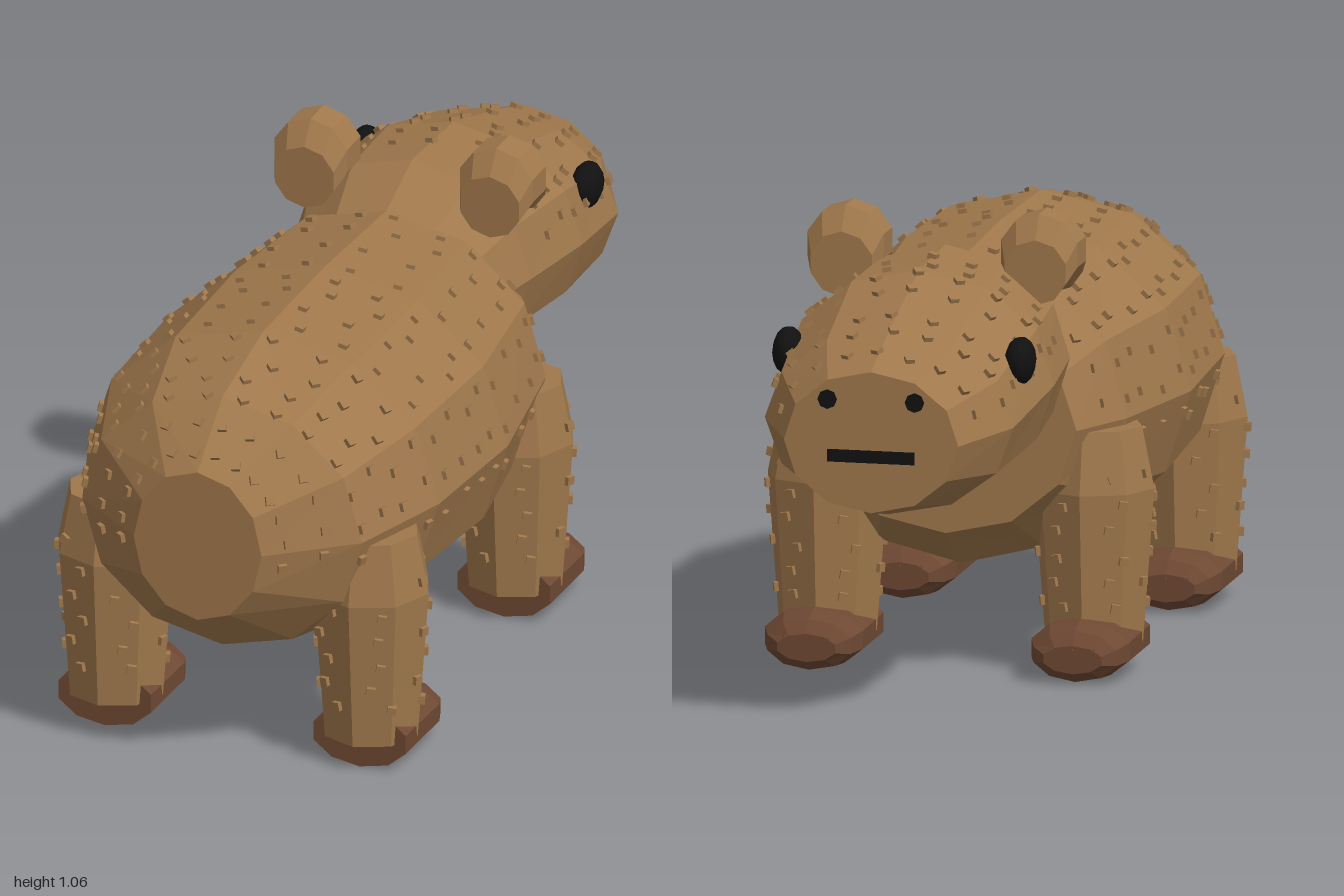
import * as THREE from 'three';
import { mergeGeometries } from 'three/addons/utils/BufferGeometryUtils.js';

const fur = new THREE.MeshStandardMaterial({ color: 0xa0784c });
fur.name = 'brown fur';
const paw = new THREE.MeshStandardMaterial({ color: 0x6e4833 });
paw.name = 'dark brown paw';
const black = new THREE.MeshStandardMaterial({ color: 0x111111 });
black.name = 'black';

// Cross-sections as [z, half width, centre y, half height], from high z to low z
const BODY = [
  [1, 0.153, 0.58, 0.18], [0.85, 0.335, 0.58, 0.302], [0.6, 0.42, 0.585, 0.353],
  [0.22, 0.435, 0.57, 0.37], [-0.15, 0.38, 0.575, 0.345], [-0.3, 0.3, 0.57, 0.245],
];
const HEAD = [
  [-0.12, 0.23, 0.72, 0.19], [-0.3, 0.285, 0.735, 0.245], [-0.55, 0.31, 0.72, 0.248],
  [-0.83, 0.285, 0.675, 0.208], [-1, 0.2, 0.66, 0.16],
];
const EAR = [
  [0.08, 0.074, -0.037, 0.074], [0.04, 0.092, 0, 0.09],
  [-0.04, 0.092, 0, 0.09], [-0.08, 0.074, -0.037, 0.074],
];
const LEG = [[0.56, 0.11, 0, 0.11], [0.42, 0.138, 0, 0.138], [0.07, 0.112, 0, 0.112]];
const FOOT = [
  [0.07, 0.116, 0.075, 0.07], [-0.13, 0.118, 0.072, 0.067],
  [-0.18, 0.1, 0.066, 0.058], [-0.205, 0.07, 0.062, 0.032],
];

let seed = 7;
const rand = () => (seed = (seed * 16807) % 2147483647) / 2147483647;

function addMesh(parent, name, geometry, material, x = 0, y = 0, z = 0) {
  const mesh = new THREE.Mesh(geometry, material);
  mesh.name = name;
  mesh.position.set(x, y, z);
  parent.add(mesh);
  return mesh;
}

// Point on a section outline; whole numbers of u are its corners, u = 0 is the top
function outline([z, rx, cy, ry], u, sides) {
  const corner = (k) => {
    const a = Math.PI / 2 + (k * 2 * Math.PI) / sides;
    return new THREE.Vector3(rx * Math.cos(a), cy + ry * Math.sin(a), z);
  };
  const k = Math.floor(u);
  return corner(k).lerp(corner(k + 1), u - k);
}

// Faceted skin through the sections, with flat ends
function loft(sections, sides) {
  const points = [];
  const last = sections.length - 1;
  const middle = (s) => new THREE.Vector3(0, s[2], s[0]);
  for (let j = 0; j < sides; j++) {
    const at = (i, k) => outline(sections[i], k, sides);
    points.push(middle(sections[0]), at(0, j), at(0, j + 1));
    points.push(middle(sections[last]), at(last, j + 1), at(last, j));
    for (let i = 0; i < last; i++) {
      const a = at(i, j), b = at(i + 1, j), c = at(i + 1, j + 1), d = at(i, j + 1);
      points.push(a, b, c, a, c, d);
    }
  }
  const geometry = new THREE.BufferGeometry().setFromPoints(points);
  geometry.computeVertexNormals();
  return geometry;
}

// Rows of small square studs lying on a lofted skin, between two u values
function studs(sections, sides, rows, count, from, to) {
  const parts = [];
  const surface = (z, u) => {
    let i = 0;
    while (i < sections.length - 2 && z < sections[i + 1][0]) i++;
    const a = sections[i], b = sections[i + 1];
    const t = (a[0] - z) / (a[0] - b[0]);
    return outline(a.map((v, k) => v + (b[k] - v) * t), u, sides);
  };
  rows.forEach((row, r) => {
    for (let k = 0; k < count; k++) {
      const step = (to - from) / count;
      const u = from + step * (k + 0.3 + 0.2 * (r % 2) + 0.25 * rand());
      const z = row + (rand() - 0.5) * 0.01;
      const p = surface(z, u);
      const along = surface(z - 0.005, u).sub(surface(z + 0.005, u));
      const around = surface(z, u + 0.01).sub(surface(z, u - 0.01));
      const normal = along.cross(around).normalize();
      const box = new THREE.BoxGeometry(0.02, 0.02, 0.02);
      const turn = new THREE.Object3D();
      turn.position.copy(p);
      turn.lookAt(p.clone().add(normal));
      turn.updateMatrix();
      parts.push(box.applyMatrix4(turn.matrix));
    }
  });
  return mergeGeometries(parts);
}

function makeLeg(name) {
  const leg = new THREE.Group();
  leg.name = name;
  addMesh(leg, 'legColumn', loft(LEG, 8).rotateX(-Math.PI / 2), fur);
  const bumps = studs(LEG, 8, [0.46, 0.395, 0.335, 0.27, 0.215, 0.16], 6, 0, 8);
  addMesh(leg, 'legStuds', bumps.rotateX(-Math.PI / 2), fur);
  addMesh(leg, 'foot', loft(FOOT, 10), paw);
  // Tiny claws along the toe edge
  for (const x of [-0.05, 0, 0.05]) {
    const claw = new THREE.ConeGeometry(0.01, 0.035, 5).rotateX(-Math.PI / 2);
    addMesh(leg, 'claw', claw, paw, x, 0.085, -0.197);
  }
  return leg;
}

export function createModel() {
  const model = new THREE.Group();
  model.name = 'bear';

  // Body
  addMesh(model, 'body', loft(BODY, 12), fur);
  const bodyRows = [0.96, 0.9, 0.84, 0.77, 0.7, 0.62, 0.54, 0.44, 0.35, 0.28, 0.2, 0.08, -0.04, -0.12, -0.2];
  addMesh(model, 'bodyStuds', studs(BODY, 12, bodyRows, 14, -3.5, 3.5), fur);

  // Head and snout
  const head = new THREE.Group();
  head.name = 'head';
  model.add(head);
  addMesh(head, 'skull', loft(HEAD, 12), fur);
  const headRows = [-0.42, -0.5, -0.56, -0.64, -0.76, -0.83, -0.92];
  addMesh(head, 'headStuds', studs(HEAD, 12, headRows, 9, -2.7, 2.7), fur);
  addMesh(head, 'mouth', new THREE.BoxGeometry(0.2, 0.028, 0.008), black, 0, 0.628, -1);

  for (const side of [-1, 1]) {
    addMesh(head, 'ear', loft(EAR, 10), fur, side * 0.222, 0.975, -0.29);
    const eye = new THREE.SphereGeometry(1, 10, 8).scale(0.035, 0.054, 0.06);
    addMesh(head, 'eye', eye, black, side * 0.266, 0.8, -0.688);
    const nostril = new THREE.CylinderGeometry(0.022, 0.022, 0.008, 8).rotateX(Math.PI / 2);
    addMesh(head, 'nostril', nostril, black, side * 0.1, 0.755, -1);

    // Legs
    for (const [name, z] of [['frontLeg', -0.155], ['backLeg', 0.72]]) {
      const leg = makeLeg(name);
      leg.position.set(side * 0.305, 0, z);
      model.add(leg);
    }
  }
  return model;
}
